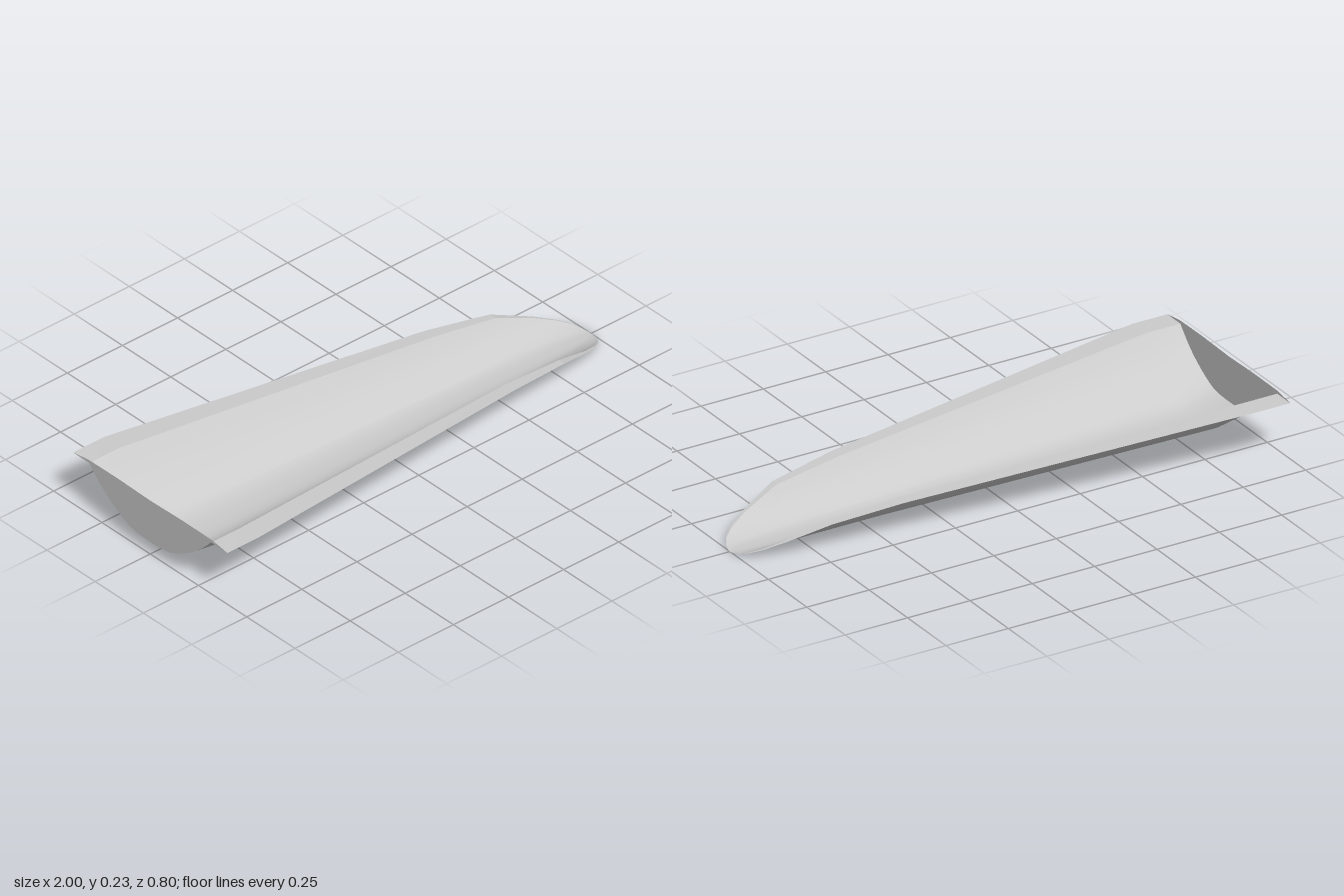
import * as THREE from 'three';
import { toCreasedNormals } from 'three/addons/utils/BufferGeometryUtils.js';

// Stations along the length: x, inner half width, outer half width, rim height, floor height
const stations = [
  [-1, 0.315, 0.4, 0.213, 0.05],
  [-0.86, 0.315, 0.4, 0.213, 0.013],
  [0.45, 0.187, 0.235, 0.14, 0.009],
  [0.71, 0.166, 0.195, 0.11, 0.007],
  [0.86, 0.13, 0.143, 0.06, 0.005],
  [0.93, 0.1, 0.108, 0.034, 0.004],
  [0.97, 0.071, 0.076, 0.017, 0.003],
  [0.99, 0.041, 0.043, 0.007, 0.002],
  [1, 0.01, 0.011, 0.001, 0],
];

// Half of the trough section, as fractions of half width and depth
const halfProfile = [[1, 1], [0.88, 0.75], [0.76, 0.54], [0.63, 0.36], [0.48, 0.19], [0.32, 0.055], [0.17, 0.01]];
const profile = new THREE.CatmullRomCurve3([
  ...halfProfile.map(([w, h]) => new THREE.Vector3(w, h, 0)),
  new THREE.Vector3(0, 0, 0),
  ...halfProfile.slice().reverse().map(([w, h]) => new THREE.Vector3(-w, h, 0)),
]).getPoints(28);

const material = new THREE.MeshStandardMaterial({ color: 0xcccccc, side: THREE.DoubleSide });

// Skin a list of equally long rows of points
function loft(name, rows) {
  const n = rows[0].length;
  const index = [];
  for (let i = 0; i < rows.length - 1; i++) {
    for (let j = 0; j < n - 1; j++) {
      const a = i * n + j, b = a + n;
      index.push(a, b, b + 1, a, b + 1, a + 1);
    }
  }
  const geometry = new THREE.BufferGeometry();
  geometry.setAttribute('position', new THREE.Float32BufferAttribute(rows.flat(2), 3));
  geometry.setIndex(index);
  const mesh = new THREE.Mesh(toCreasedNormals(geometry, 0.2), material);
  mesh.name = name;
  return mesh;
}

const troughRow = ([x, inner, , rim, floor]) =>
  profile.map((p) => [x, floor + p.y * (rim - floor), p.x * inner]);

export function createModel() {
  const group = new THREE.Group();
  group.name = 'troughSlide';

  // Curved channel
  group.add(loft('trough', stations.map(troughRow)));

  // Flat flange along both rims, ordered so that it faces up
  for (const side of [1, -1]) {
    const rows = stations.map(([x, inner, outer, rim]) => {
      const row = [[x, rim, side * outer], [x, rim, side * inner]];
      return side > 0 ? row : row.reverse();
    });
    group.add(loft(side > 0 ? 'frontFlange' : 'backFlange', rows));
  }

  // Wall closing the wide end, with a slightly raised top edge
  const shape = new THREE.Shape();
  const top = [[-0.4, 0.213], [-0.32, 0.225], [-0.17, 0.226], [0, 0.222], [0.17, 0.226], [0.32, 0.225], [0.4, 0.213]];
  const lower = troughRow(stations[0]).map(([, y, z]) => [z, y]);
  shape.setFromPoints([...top, ...lower].map(([z, y]) => new THREE.Vector2(z, y)));
  const wall = new THREE.Mesh(new THREE.ShapeGeometry(shape), material);
  wall.name = 'endWall';
  wall.rotation.y = -Math.PI / 2;
  wall.position.x = -1;
  group.add(wall);

  return group;
}
